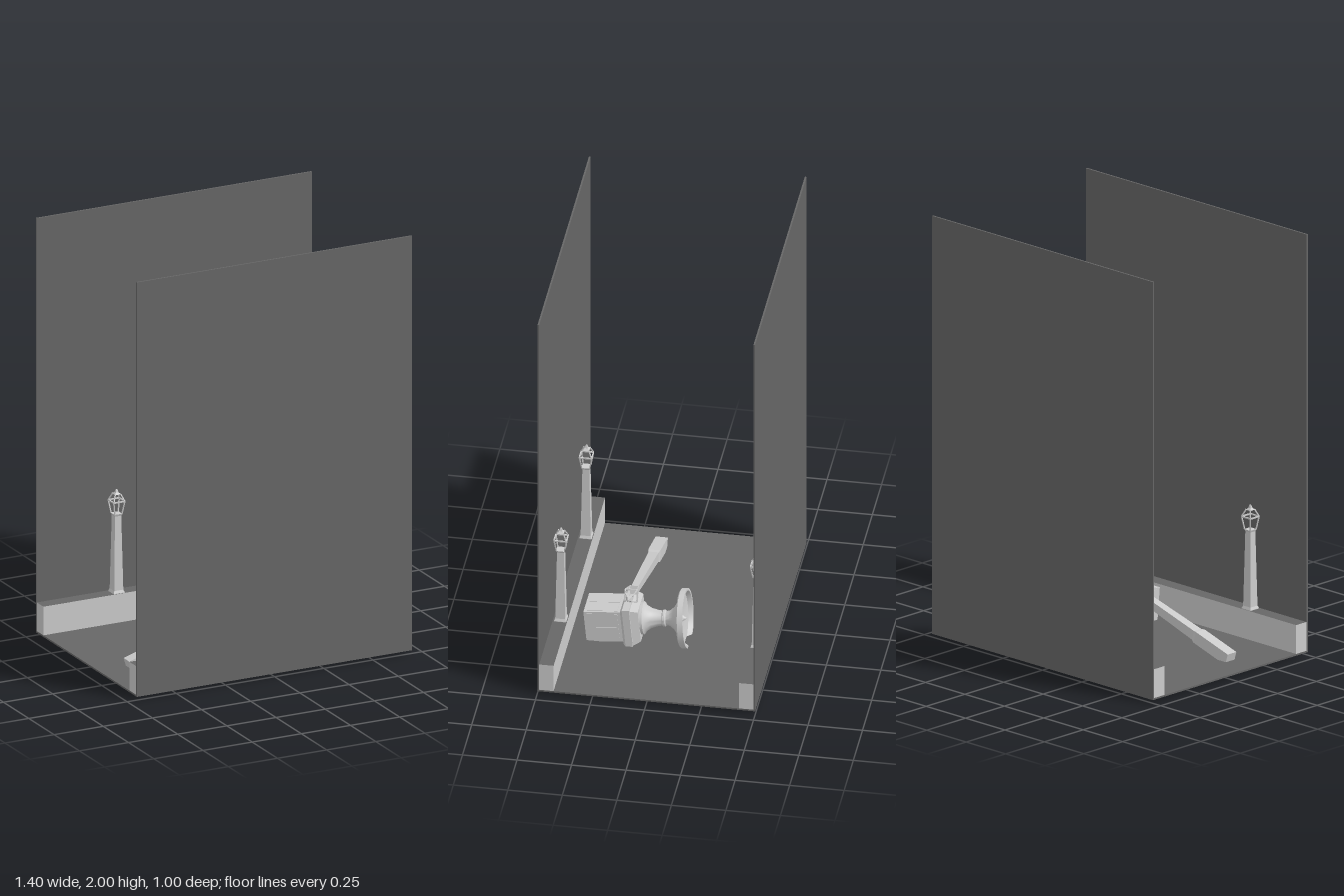
import * as THREE from 'three';
import { toCreasedNormals } from 'three/addons/utils/BufferGeometryUtils.js';

const grey = new THREE.MeshStandardMaterial({ color: 0xcccccc });
const flat = new THREE.MeshStandardMaterial({ color: 0xcccccc, flatShading: true });
const smooth = new THREE.MeshStandardMaterial({ color: 0xcccccc, side: THREE.DoubleSide });
const dark = new THREE.MeshStandardMaterial({ color: 0x666666 });

function add(parent, name, geometry, material, x = 0, y = 0, z = 0) {
  const mesh = new THREE.Mesh(geometry, material);
  mesh.name = name;
  mesh.position.set(x, y, z);
  parent.add(mesh);
  return mesh;
}

const box = (w, h, d) => new THREE.BoxGeometry(w, h, d);

// Square tapering block given by half widths, standing from y0 to y1
function block(parent, name, y0, y1, half0, half1 = half0) {
  const g = new THREE.CylinderGeometry(half1 * Math.SQRT2, half0 * Math.SQRT2, y1 - y0, 4);
  return add(parent, name, g.rotateY(Math.PI / 4), flat, 0, (y0 + y1) / 2, 0);
}

// Thin bar between two points
function bar(parent, name, a, b, width) {
  const dir = b.clone().sub(a);
  const mesh = add(parent, name, box(width, dir.length(), width), grey);
  mesh.position.copy(a).add(b).multiplyScalar(0.5);
  mesh.quaternion.setFromUnitVectors(new THREE.Vector3(0, 1, 0), dir.normalize());
}

function createLampPost() {
  const post = new THREE.Group();
  post.name = 'lampPost';
  block(post, 'postBase', 0, 0.14, 0.028);
  block(post, 'postBaseCap', 0.14, 0.152, 0.028, 0.023);
  block(post, 'postShaft', 0.152, 0.505, 0.023, 0.016);
  block(post, 'lanternFoot', 0.505, 0.515, 0.016, 0.02);
  // Open lantern frame: four corner bars, rim and roof bars
  const corners = [[1, 1], [-1, 1], [-1, -1], [1, -1]];
  const at = (i, h, y) => new THREE.Vector3(corners[i % 4][0] * h, y, corners[i % 4][1] * h);
  for (let i = 0; i < 4; i++) {
    bar(post, 'lanternBar', at(i, 0.018, 0.513), at(i, 0.028, 0.575), 0.005);
    bar(post, 'lanternRim', at(i, 0.028, 0.575), at(i + 1, 0.028, 0.575), 0.006);
    bar(post, 'lanternRoofBar', at(i, 0.028, 0.575), at(i, 0.013, 0.61), 0.005);
  }
  block(post, 'lanternRoof', 0.607, 0.616, 0.015, 0.007);
  block(post, 'finial', 0.616, 0.63, 0.007, 0.003);
  return post;
}

function createUrn() {
  const urn = new THREE.Group();
  urn.name = 'fallenUrn';
  // Square pedestal with two panels on each side
  block(urn, 'pedestal', 0, 0.17, 0.079);
  for (let i = 0; i < 4; i++) {
    const side = new THREE.Group();
    side.name = 'pedestalSide';
    side.rotation.y = i * Math.PI / 2;
    for (const x of [-0.037, 0.037]) add(side, 'panel', box(0.066, 0.14, 0.004), grey, x, 0.085, 0.079);
    urn.add(side);
  }
  block(urn, 'pedestalCornice', 0.17, 0.182, 0.085, 0.1);
  block(urn, 'pedestalSlab', 0.182, 0.215, 0.1);
  block(urn, 'pedestalTop', 0.215, 0.25, 0.092, 0.078);
  // Turned stem and hollow bowl
  const profile = [
    [0, 0.25], [0.075, 0.25], [0.075, 0.262], [0.06, 0.272], [0.046, 0.295], [0.037, 0.325],
    [0.034, 0.345], [0.039, 0.35], [0.039, 0.358], [0.032, 0.363], [0.036, 0.38], [0.052, 0.4],
    [0.078, 0.418], [0.085, 0.424], [0.13, 0.43], [0.137, 0.436], [0.137, 0.461], [0.126, 0.461],
    [0.118, 0.44], [0.07, 0.432], [0, 0.426],
  ].map(([r, y]) => new THREE.Vector2(r, y));
  add(urn, 'urnBowl', toCreasedNormals(new THREE.LatheGeometry(profile, 32), 0.5), smooth);
  add(urn, 'bowlSpout', new THREE.ConeGeometry(0.022, 0.03, 8), flat, 0, 0.443, 0);
  return urn;
}

export function createModel() {
  const model = new THREE.Group();
  model.name = 'street';

  // Street floor and the two tall walls
  add(model, 'floor', box(1.4, 0.008, 0.99), dark, 0, 0.019, 0);
  for (const s of [1, -1]) {
    add(model, s > 0 ? 'frontWall' : 'backWall', box(1.4, 1.985, 0.008), dark, 0, 1.0075, s * 0.495);
    // Low ledge along the wall, with a dark top
    add(model, 'ledge', box(1.398, 0.14, 0.068), [grey, grey, dark, grey, grey, grey], 0, 0.09, s * 0.459);
    for (const x of [-0.345, 0.345]) {
      const lamp = createLampPost();
      lamp.position.set(x - s * 0.033, 0.022, s * 0.456);
      model.add(lamp);
    }
  }

  // Toppled urn
  const urn = createUrn();
  urn.position.set(0.183, 0.095, 0.355);
  urn.rotation.x = -THREE.MathUtils.degToRad(84.5);
  model.add(urn);

  // Fallen lamp post leaning on the urn
  const fallen = createLampPost();
  fallen.name = 'fallenLampPost';
  fallen.position.set(-0.562, 0.035, 0.143);
  fallen.rotation.z = -THREE.MathUtils.degToRad(73);
  fallen.scale.y = 1.5;
  model.add(fallen);

  return model;
}
